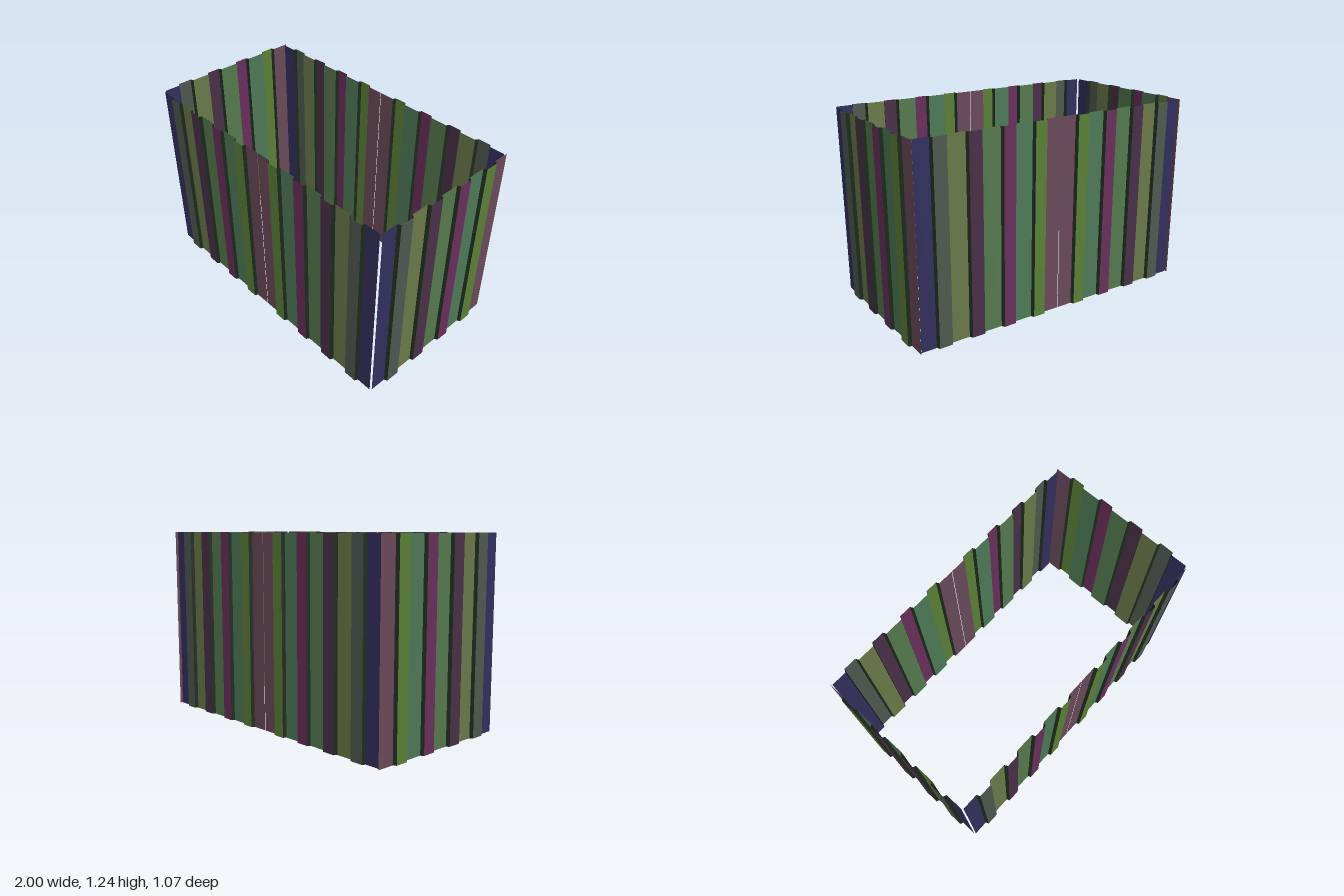
import * as THREE from 'three';

const HEIGHT = 1.24, DEPTH = 0.02, SLOPE = 0.005;
// Fold positions along one sheet, as fractions of its length
const FOLDS = [0, 0.114, 0.207, 0.339, 0.433, 0.568, 0.666, 0.794, 0.892, 1];
// One colour per flat strip
const COLORS = [0x6b4a5a, 0x5c8038, 0x4f7a58, 0x6a2f5c, 0x557a4e, 0x4a3048, 0x6b7a4a, 0x4f5a50, 0x33305e];
const WEB_COLOR = 0x1c2a1c;

// Upright rectangle standing on the line from a to b
function strip(a, b, color, name) {
  const geometry = new THREE.BufferGeometry();
  geometry.setAttribute('position', new THREE.Float32BufferAttribute([
    a.x, 0, a.y, b.x, 0, b.y, b.x, HEIGHT, b.y, a.x, HEIGHT, a.y,
  ], 3));
  geometry.setIndex([0, 1, 2, 0, 2, 3]);
  geometry.computeVertexNormals();
  const mesh = new THREE.Mesh(geometry, new THREE.MeshStandardMaterial({ color, side: THREE.DoubleSide }));
  mesh.name = name;
  return mesh;
}

// Corrugated sheet between two floor points; ridges rise along the outward direction
function corrugatedSheet(name, start, end, outward) {
  const sheet = new THREE.Group();
  sheet.name = name;
  const length = start.distanceTo(end);
  const last = COLORS.length - 1;
  const at = (t, raised) => start.clone().lerp(end, t).addScaledVector(outward, raised ? DEPTH : 0);
  COLORS.forEach((color, i) => {
    const raised = i % 2 === 1;
    const slope = SLOPE / length;
    const from = FOLDS[i] + (i > 0 ? slope : 0);
    const to = FOLDS[i + 1] - (i < last ? slope : 0);
    sheet.add(strip(at(from, raised), at(to, raised), color, raised ? 'ridge' : 'valley'));
    // Sloping web to the next strip
    if (i < last) {
      sheet.add(strip(at(to, raised), at(FOLDS[i + 1] + slope, !raised), WEB_COLOR, 'web'));
    }
  });
  return sheet;
}

export function createModel() {
  const group = new THREE.Group();
  group.name = 'corrugatedEnclosure';
  const v = (x, z) => new THREE.Vector2(x, z);
  for (const s of [1, -1]) {
    const side = s > 0 ? 'left' : 'right';
    // Front and back walls are two mirrored sheets meeting at the middle
    group.add(corrugatedSheet(side + 'FrontSheet', v(s * 0.002, 0.515), v(s * 0.972, 0.515), v(0, 1)));
    group.add(corrugatedSheet(side + 'BackSheet', v(s * 0.002, -0.515), v(s * 0.972, -0.515), v(0, -1)));
    // Side walls are single sheets, leaving a slit at the front corner
    group.add(corrugatedSheet(side + 'SideSheet', v(s * 0.98, -0.53), v(s * 0.98, 0.505), v(s, 0)));
  }
  return group;
}
